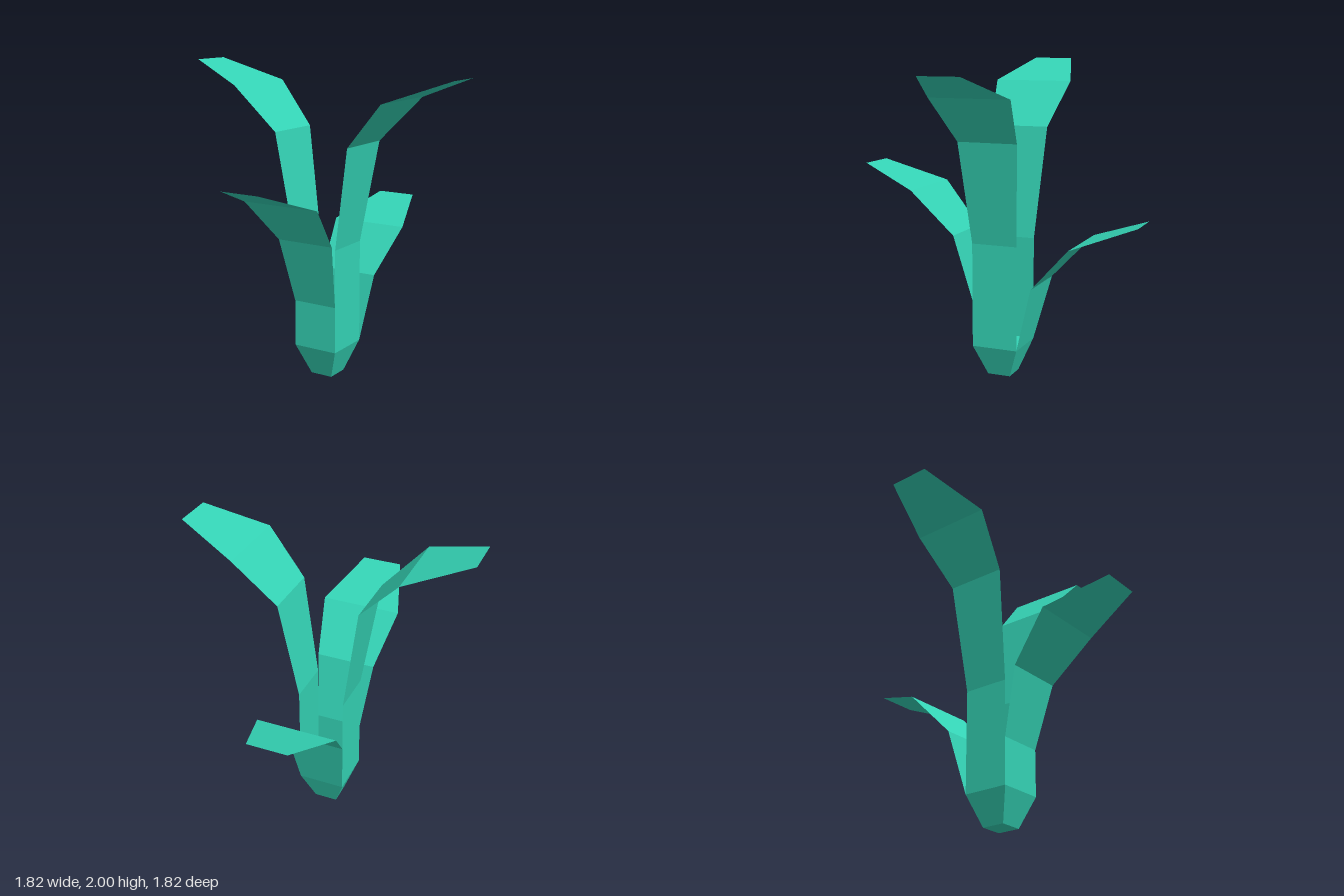
import * as THREE from 'three';

const material = new THREE.MeshStandardMaterial({
  color: 0x34d3b5, flatShading: true, side: THREE.DoubleSide,
});

// A thin folded leaf leaning towards +z, from rows of [half width, height, reach]
function leafGeometry(rows) {
  const positions = [];
  for (let i = 0; i < rows.length - 1; i++) {
    const [w0, y0, z0] = rows[i];
    const [w1, y1, z1] = rows[i + 1];
    positions.push(
      -w0, y0, z0, w0, y0, z0, w1, y1, z1,
      -w0, y0, z0, w1, y1, z1, -w1, y1, z1,
    );
  }
  const geometry = new THREE.BufferGeometry();
  geometry.setAttribute('position', new THREE.Float32BufferAttribute(positions, 3));
  geometry.computeVertexNormals();
  return geometry;
}

export function createModel() {
  const plant = new THREE.Group();
  plant.name = 'plant';

  // Square base, widening upwards
  const baseGeometry = new THREE.CylinderGeometry(0.15 * Math.SQRT2, 0.075 * Math.SQRT2, 0.2, 4);
  baseGeometry.rotateY(Math.PI / 4).translate(0, 0.1, 0);
  const base = new THREE.Mesh(baseGeometry, material);
  base.name = 'base';
  plant.add(base);

  // Four leaves: direction, top of the upright stem, height of the tip
  const leaves = [
    ['frontLeaf', 0, 0.5, 1.34],
    ['leftLeaf', Math.PI / 2, 0.87, 1.94],
    ['backLeaf', Math.PI, 0.2, 1.04],
    ['rightLeaf', -Math.PI / 2, 0.87, 2],
  ];
  for (const [name, angle, stemTop, tip] of leaves) {
    const rows = [
      [0.15, stemTop, 0.15],
      [0.195, tip - 0.42, 0.26],
      [0.26, tip - 0.14, 0.52],
      [0.13, tip, 0.91],
    ];
    if (stemTop > 0.2) rows.unshift([0.15, 0.2, 0.15]);
    const leaf = new THREE.Mesh(leafGeometry(rows), material);
    leaf.name = name;
    leaf.rotation.y = angle;
    plant.add(leaf);
  }
  return plant;
}
